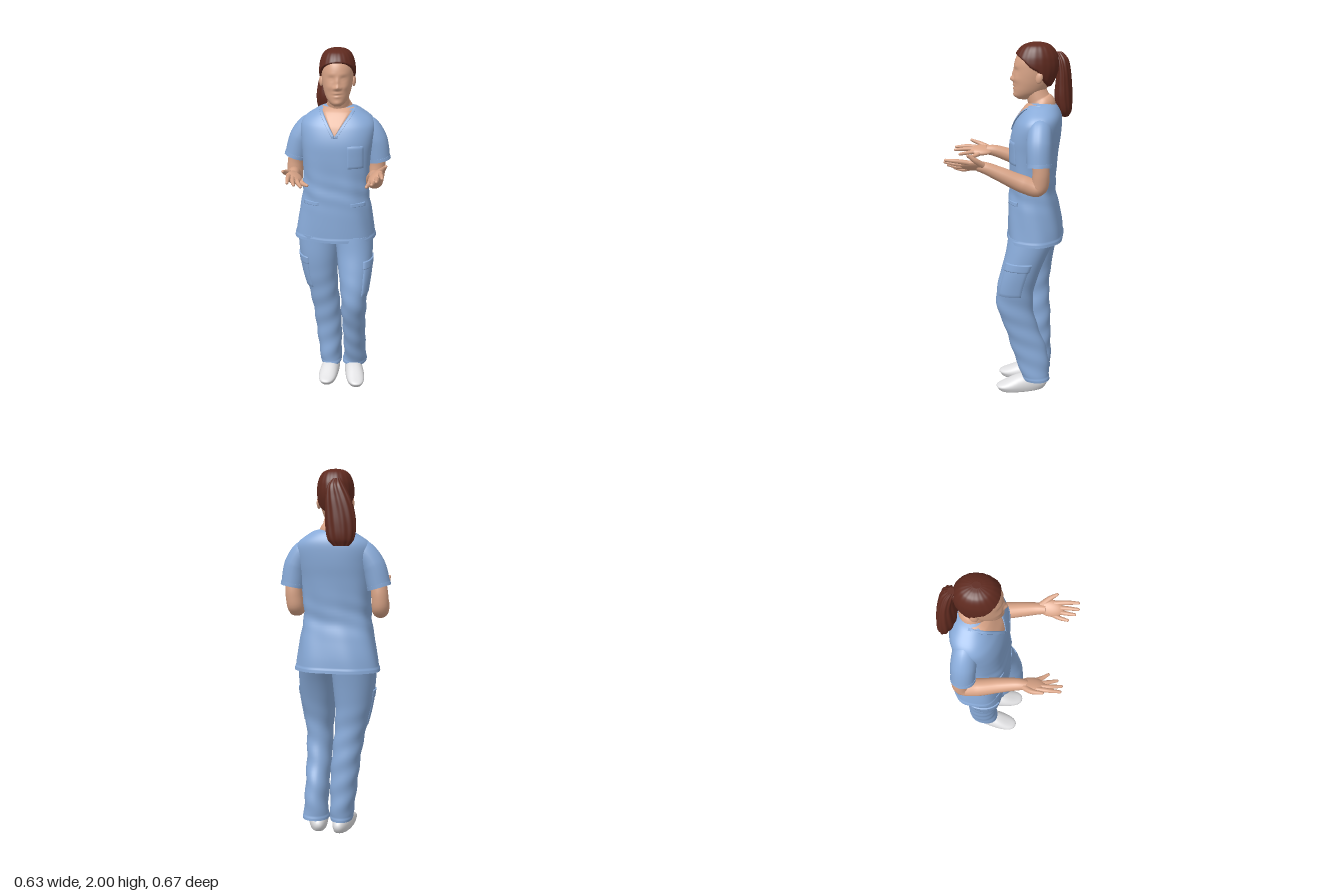
import * as THREE from 'three';

const mat = (name, color) => Object.assign(new THREE.MeshStandardMaterial({ color }), { name });
const { sin, cos, abs, sign, PI, min, max, exp } = Math;
const smooth = THREE.MathUtils.smoothstep;
const V = (a) => new THREE.Vector3(...a);

// Smooth grid surface from fn(s, t); wrap joins the s ends, caps close the t ends
function grid(fn, nu, nv, wrap = false) {
  const pos = [], idx = [], cols = wrap ? nu : nu + 1;
  for (let j = 0; j <= nv; j++)
    for (let i = 0; i < cols; i++) pos.push(...fn(i / nu, j / nv).toArray());
  for (let j = 0; j < nv; j++)
    for (let i = 0; i < nu; i++) {
      const a = j * cols + i, b = j * cols + (i + 1) % cols;
      idx.push(a, b, b + cols, a, b + cols, a + cols);
    }
  if (wrap) for (const t of [0, 1]) {
    const base = pos.length / 3, c = new THREE.Vector3();
    for (let i = 0; i < nu; i++) {
      const p = fn(i / nu, t);
      c.addScaledVector(p, 1 / nu);
      pos.push(...p.toArray());
    }
    pos.push(...c.toArray());
    for (let i = 0; i < nu; i++) {
      const k = (i + 1) % nu;
      idx.push(base + nu, base + (t ? i : k), base + (t ? k : i));
    }
  }
  const g = new THREE.BufferGeometry();
  g.setAttribute('position', new THREE.Float32BufferAttribute(pos, 3));
  g.setIndex(idx);
  g.computeVertexNormals();
  return g;
}

// Body surface from level rings [y, xMin, xMax, zBack, zFront]; angle 0 is the front
function body(rings, e = 1) {
  const at = (y) => {
    let i = 0;
    while (i < rings.length - 2 && y > rings[i + 1][0]) i++;
    const slope = (k, c) => {
      const p = rings[max(k - 1, 0)], q = rings[min(k + 1, rings.length - 1)];
      return (q[c] - p[c]) / (q[0] - p[0]);
    };
    const A = rings[i], B = rings[i + 1], h = B[0] - A[0], t = (y - A[0]) / h, u = 1 - t;
    return [1, 2, 3, 4].map((c) => A[c] * (1 + 2 * t) * u * u + B[c] * t * t * (3 - 2 * t)
      + h * slope(i, c) * t * u * u - h * slope(i + 1, c) * t * t * u);
  };
  const pw = (v) => sign(v) * abs(v) ** e;
  const point = (a, y, off = 0) => {
    const [x0, x1, z0, z1] = at(y);
    return new THREE.Vector3((x0 + x1) / 2 + ((x1 - x0) / 2 + off) * pw(sin(a)), y,
      (z0 + z1) / 2 + ((z1 - z0) / 2 + off) * pw(cos(a)));
  };
  const angle = (x, y) => {
    const [x0, x1] = at(y), t = max(-1, min(1, (2 * x - x0 - x1) / (x1 - x0)));
    return Math.asin(sign(t) * abs(t) ** (1 / e));
  };
  const y0 = rings[0][0], y1 = rings[rings.length - 1][0];
  const level = (t) => y0 + (y1 - y0) * (1 - cos(PI * t)) / 2;
  const loft = (nu, nv, off, after = (p) => p) => grid((s, t) => {
    const a = s * 2 * PI, y = level(t);
    return after(point(a, y, off(a, y, point(a, y))));
  }, nu, nv, true);
  // Raised panel with tucked edges
  const edge = (s) => (s <= 0 || s >= 1 ? -0.003 : 1);
  const ease = (s) => (s <= 0 ? 0 : s >= 1 ? 1 : s < 0.07 ? 0.02 : s > 0.93 ? 0.98 : s);
  const patch = (aFn, ya, yb, off) => grid((s, t) => {
    const y = ya + (yb - ya) * ease(t), k = min(edge(s), edge(t));
    return point(aFn(ease(s), y), y, k < 0 ? k : off);
  }, 16, 16);
  return { loft, patch, angle };
}

// Limb: tube along points with radii interpolated between them
function limb(points, radii, seg = 32, sides = 20) {
  const curve = new THREE.CatmullRomCurve3(points.map(V), false, 'centripetal');
  const frames = curve.computeFrenetFrames(seg);
  return grid((s, t) => {
    const j = Math.round(t * seg), f = curve.getUtoTmapping(t) * (radii.length - 1);
    const i = min(Math.floor(f), radii.length - 2), a = s * 2 * PI;
    const r = radii[i] + (radii[i + 1] - radii[i]) * (f - i);
    return curve.getPointAt(t).addScaledVector(frames.normals[j], r * cos(a))
      .addScaledVector(frames.binormals[j], r * sin(a));
  }, sides, seg, true);
}

export function createModel() {
  const model = new THREE.Group();
  const scrubs = mat('scrubs blue', 0x88aad8), skin = mat('skin', 0xd9a487);
  const hair = mat('auburn hair', 0x5f2a1f), white = mat('shoe white', 0xe0e0e2);
  const add = (name, geo, m, parent = model) => {
    const mesh = new THREE.Mesh(geo, m);
    mesh.name = name;
    parent.add(mesh);
    return mesh;
  };

  // Tunic with soft folds, a gathered waist and a thicker hem
  const tunic = body([
    [0.92, -0.25, 0.217, -0.3, 0.012], [1, -0.235, 0.207, -0.292, 0.012], [1.1, -0.214, 0.195, -0.272, 0.01],
    [1.2, -0.196, 0.18, -0.25, 0.005], [1.3, -0.193, 0.18, -0.255, 0], [1.42, -0.2, 0.19, -0.266, 0],
    [1.5, -0.207, 0.202, -0.277, -0.005], [1.58, -0.21, 0.208, -0.282, -0.03], [1.62, -0.187, 0.188, -0.278, -0.055],
    [1.655, -0.135, 0.14, -0.262, -0.08], [1.675, -0.1, 0.105, -0.243, -0.1], [1.685, -0.07, 0.07, -0.22, -0.12]], 0.84);
  add('tunic', tunic.loft(80, 70, (a, y) => 0.003 * sin(a * 7 + y * 9) * (1 - smooth(y, 1.2, 1.5))
    + 0.003 * sin(y * 60 + a * 3) * exp(-(((y - 1.22) / 0.08) ** 2)) + (y < 0.94 ? 0.003 : 0)), scrubs);
  const panel = (name, x0, x1, y0, y1, off) => add(name,
    tunic.patch((s, y) => tunic.angle(x0 + (x1 - x0) * s, y), y0, y1, off), scrubs);
  panel('chestPocket', 0.07, 0.155, 1.36, 1.49, 0.005);
  panel('rightPocketWelt', -0.175, -0.085, 1.14, 1.16, 0.006);
  panel('leftPocketWelt', 0.09, 0.168, 1.14, 1.16, 0.006);

  // V neckline: skin inset and collar bands
  const w = (y) => 0.086 * max(0, y - 1.54) / 0.135;
  add('neckOpening', tunic.patch((s, y) => tunic.angle(w(y) * (2 * s - 1), y), 1.54, 1.682, 0.005), skin);
  for (const k of [-1, 1])
    add(k < 0 ? 'rightCollar' : 'leftCollar', tunic.patch((s, y) =>
      tunic.angle(k * w(y) + 0.016 * (k < 0 ? s - 1 : s), y), 1.529, 1.68, 0.008), scrubs);

  // Trousers with cuffs and cargo pockets
  const legs = {
    right: [[0.07, -0.097, 0.02, -0.235, -0.06], [0.12, -0.107, 0.022, -0.24, -0.06], [0.3, -0.13, 0.022, -0.236, -0.065],
      [0.45, -0.147, 0.014, -0.23, -0.05], [0.58, -0.17, 0.002, -0.222, -0.03], [0.7, -0.2, 0, -0.232, -0.012],
      [0.82, -0.22, 0.01, -0.25, 0], [0.95, -0.232, 0.02, -0.275, 0]],
    left: [[0.07, 0.035, 0.175, -0.24, -0.085], [0.12, 0.041, 0.175, -0.24, -0.07], [0.25, 0.042, 0.172, -0.225, -0.025],
      [0.4, 0.04, 0.178, -0.17, 0.02], [0.5, 0.04, 0.185, -0.145, 0.058], [0.57, 0.04, 0.19, -0.14, 0.068],
      [0.65, 0.03, 0.2, -0.15, 0.062], [0.75, 0.015, 0.21, -0.18, 0.04], [0.85, 0, 0.211, -0.22, 0.015],
      [0.95, -0.02, 0.205, -0.27, 0]],
  };
  for (const [side, rings] of Object.entries(legs)) {
    const k = side === 'left' ? 1 : -1, leg = body(rings, 0.93), mid = k > 0 ? 1.3 : -1.1;
    add(side + 'Leg', leg.loft(48, 70, (a, y) => 0.0025 * sin(y * 48 + k * a * 2) * (1 - smooth(y, 0.55, 0.8))
      + (y < 0.09 ? 0.003 : 0)), scrubs);
    add(side + 'CargoPocket', leg.patch((s) => mid + (s - 0.5) * 1.3, 0.61, 0.79, 0.005), scrubs);
    add(side + 'CargoFlap', leg.patch((s) => mid + (s - 0.5) * 1.4, 0.77, 0.815, 0.007), scrubs);
  }

  // Shoes: spheres flattened underneath, low at the toe, narrow at the heel
  for (const [name, x, yaw] of [['rightShoe', -0.038, -0.04], ['leftShoe', 0.114, 0.25]]) {
    const g = new THREE.SphereGeometry(1, 40, 28), p = g.attributes.position;
    for (let i = 0; i < p.count; i++) {
      const px = p.getX(i), py = p.getY(i), pz = p.getZ(i);
      const height = 0.1 - 0.045 * smooth(pz, -0.3, 0.9);
      p.setXYZ(i, 0.056 * (1 + 0.12 * pz) * sign(px) * abs(px) ** 0.85,
        py > -0.3 ? 0.018 + (py + 0.3) / 1.3 * (height - 0.018) : max(0, 0.018 + (py + 0.3) * 0.08),
        0.15 * sign(pz) * abs(pz) ** 0.85);
    }
    g.computeVertexNormals();
    const shoe = add(name, g, white);
    shoe.position.set(x, 0, -0.08);
    shoe.rotation.y = yaw;
  }

  // Arms: sleeve, bare arm, palm and fingers (thumb first)
  const arms = {
    right: {
      sleeve: [[-0.1, 1.595, -0.172], [-0.165, 1.56, -0.172], [-0.216, 1.49, -0.17], [-0.25, 1.375, -0.168]],
      arm: [[-0.24, 1.44, -0.172], [-0.256, 1.33, -0.185], [-0.257, 1.26, -0.17], [-0.243, 1.28, -0.09],
        [-0.217, 1.333, 0.03], [-0.2, 1.362, 0.115], [-0.193, 1.366, 0.16]],
      palm: [-0.186, 1.366, 0.182], roll: -0.38, yaw: 0.2,
      fingers: [[[-0.205, 1.368, 0.135], [-0.229, 1.39, 0.19], [-0.231, 1.413, 0.248]],
        [[-0.206, 1.376, 0.2], [-0.2, 1.383, 0.27], [-0.19, 1.38, 0.332]],
        [[-0.188, 1.37, 0.2], [-0.174, 1.372, 0.275], [-0.156, 1.37, 0.332]],
        [[-0.17, 1.363, 0.2], [-0.15, 1.356, 0.255], [-0.126, 1.352, 0.302]],
        [[-0.16, 1.356, 0.185], [-0.13, 1.342, 0.222], [-0.102, 1.343, 0.25]]],
    },
    left: {
      sleeve: [[0.1, 1.595, -0.172], [0.165, 1.56, -0.172], [0.208, 1.49, -0.172], [0.23, 1.375, -0.175]],
      arm: [[0.222, 1.44, -0.175], [0.22, 1.33, -0.185], [0.212, 1.26, -0.17], [0.214, 1.28, -0.09],
        [0.228, 1.335, 0.03], [0.238, 1.37, 0.11], [0.242, 1.38, 0.15]],
      palm: [0.25, 1.385, 0.172], roll: 0.65, yaw: 0.08,
      fingers: [[[0.255, 1.388, 0.12], [0.286, 1.42, 0.155], [0.306, 1.45, 0.19]],
        [[0.275, 1.404, 0.185], [0.291, 1.416, 0.255], [0.3, 1.422, 0.308]],
        [[0.258, 1.39, 0.195], [0.268, 1.395, 0.26], [0.272, 1.405, 0.316]],
        [[0.242, 1.378, 0.195], [0.246, 1.375, 0.255], [0.247, 1.384, 0.304]],
        [[0.228, 1.366, 0.18], [0.22, 1.355, 0.23], [0.216, 1.36, 0.274]]],
    },
  };
  for (const [side, d] of Object.entries(arms)) {
    add(side + 'Sleeve', limb(d.sleeve, [0.05, 0.064, 0.067, 0.064]), scrubs);
    const end = V(d.sleeve[3]), up = V(d.sleeve[2]).lerp(end, 0.83);
    add(side + 'SleeveHem', limb([up.toArray(), end.toArray()], [0.067, 0.067], 2), scrubs);
    add(side + 'Arm', limb(d.arm, [0.044, 0.046, 0.046, 0.048, 0.039, 0.032, 0.026], 48), skin);
    const palm = add(side + 'Palm', new THREE.SphereGeometry(1, 24, 16), skin);
    palm.scale.set(0.047, 0.02, 0.07);
    palm.position.set(...d.palm);
    palm.rotation.set(0, d.yaw, d.roll, 'YZX');
    d.fingers.forEach((f, i) => {
      add(side + (i ? 'Finger' : 'Thumb'), limb(f, i ? [0.0135, 0.012, 0.008] : [0.018, 0.0145, 0.008], 12, 12), skin);
      add(side + 'FingerTip', new THREE.SphereGeometry(0.008, 12, 8), skin).position.set(...f[2]);
    });
  }

  // Neck, flaring into the shoulders
  add('neck', limb([[0, 1.64, -0.17], [0, 1.675, -0.168], [0, 1.7, -0.155], [-0.002, 1.76, -0.13]],
    [0.08, 0.077, 0.062, 0.056]), skin);

  // Head, turned slightly to its left
  const head = new THREE.Group();
  head.name = 'head';
  head.position.set(-0.004, 0, -0.14);
  head.rotation.y = 0.15;
  model.add(head);
  const skull = body([
    [1.7, -0.022, 0.022, 0.03, 0.095], [1.715, -0.041, 0.041, 0, 0.115], [1.74, -0.06, 0.06, -0.04, 0.121],
    [1.78, -0.075, 0.075, -0.075, 0.122], [1.82, -0.083, 0.083, -0.095, 0.122], [1.86, -0.087, 0.087, -0.107, 0.12],
    [1.9, -0.087, 0.087, -0.108, 0.116], [1.94, -0.079, 0.079, -0.098, 0.098], [1.97, -0.058, 0.058, -0.07, 0.066],
    [1.984, -0.028, 0.028, -0.035, 0.03], [1.988, -0.006, 0.006, -0.012, 0.006]], 0.96);
  const bump = (p, x, y, rx, ry, h) => h * exp(-(((abs(p.x) - x) / rx) ** 2) - ((p.y - y) / ry) ** 2);
  add('face', skull.loft(96, 72, () => 0, (p) => {
    if (p.z > 0) p.z += bump(p, 0, 1.808, 0.014, 0.013, 0.018) + bump(p, 0, 1.835, 0.011, 0.025, 0.008)
      + bump(p, 0.017, 1.804, 0.008, 0.008, 0.005) + bump(p, 0.033, 1.853, 0.018, 0.012, -0.006)
      + bump(p, 0.033, 1.851, 0.012, 0.006, 0.003) + bump(p, 0.03, 1.878, 0.026, 0.01, 0.002)
      + bump(p, 0.043, 1.808, 0.018, 0.018, 0.005) + bump(p, 0, 1.777, 0.022, 0.006, 0.005)
      + bump(p, 0, 1.767, 0.024, 0.004, -0.003) + bump(p, 0, 1.758, 0.018, 0.006, 0.004)
      + bump(p, 0, 1.722, 0.025, 0.014, 0.005);
    return p;
  }), skin, head);
  for (const k of [-1, 1]) {
    const ear = add(k < 0 ? 'rightEar' : 'leftEar', new THREE.SphereGeometry(1, 18, 14), skin, head);
    ear.scale.set(0.011, 0.031, 0.019);
    ear.position.set(k * 0.089, 1.822, -0.008);
    ear.rotation.set(-0.2, k * -0.35, 0);
  }

  // Hair cap: rises from the skull behind the hairline and sinks below the skin in front of it
  const line = [[-0.2, 1.755], [-0.06, 1.765], [-0.03, 1.8], [0.003, 1.852], [0.04, 1.872], [0.07, 1.905], [0.1, 1.932], [0.2, 1.95]];
  const hairline = (z) => {
    const i = max(1, line.findIndex((q) => q[0] >= z)), [a, b] = [line[i - 1], line[i]];
    return a[1] + (b[1] - a[1]) * (z - a[0]) / (b[0] - a[0]);
  };
  add('hairCap', skull.loft(120, 90, (a, y, p) => -0.014 + (0.026 + 0.0006 * sin(a * 20 + y * 15))
    * smooth(y - hairline(p.z), -0.007, 0.009), (p) => {
    p.y += 0.012 * smooth(p.y, 1.93, 1.985);
    return p;
  }), hair, head);

  // Ponytail with strand grooves, and its tied root
  const tail = body([[1.598, -0.112, -0.03, -0.315, -0.278], [1.63, -0.137, 0, -0.33, -0.257], [1.7, -0.148, 0.014, -0.333, -0.238],
    [1.78, -0.138, 0.016, -0.328, -0.242], [1.85, -0.113, 0.014, -0.32, -0.248], [1.91, -0.08, 0.004, -0.306, -0.24],
    [1.945, -0.055, -0.02, -0.275, -0.235]]);
  add('ponytail', tail.loft(96, 40, (a, y) => 0.002 * sin(a * 11 + y * 12)), hair);
  add('ponytailRoot', limb([[-0.025, 1.89, -0.2], [-0.035, 1.905, -0.25], [-0.042, 1.9, -0.285]], [0.045, 0.028, 0.03], 16), hair);

  return model;
}
